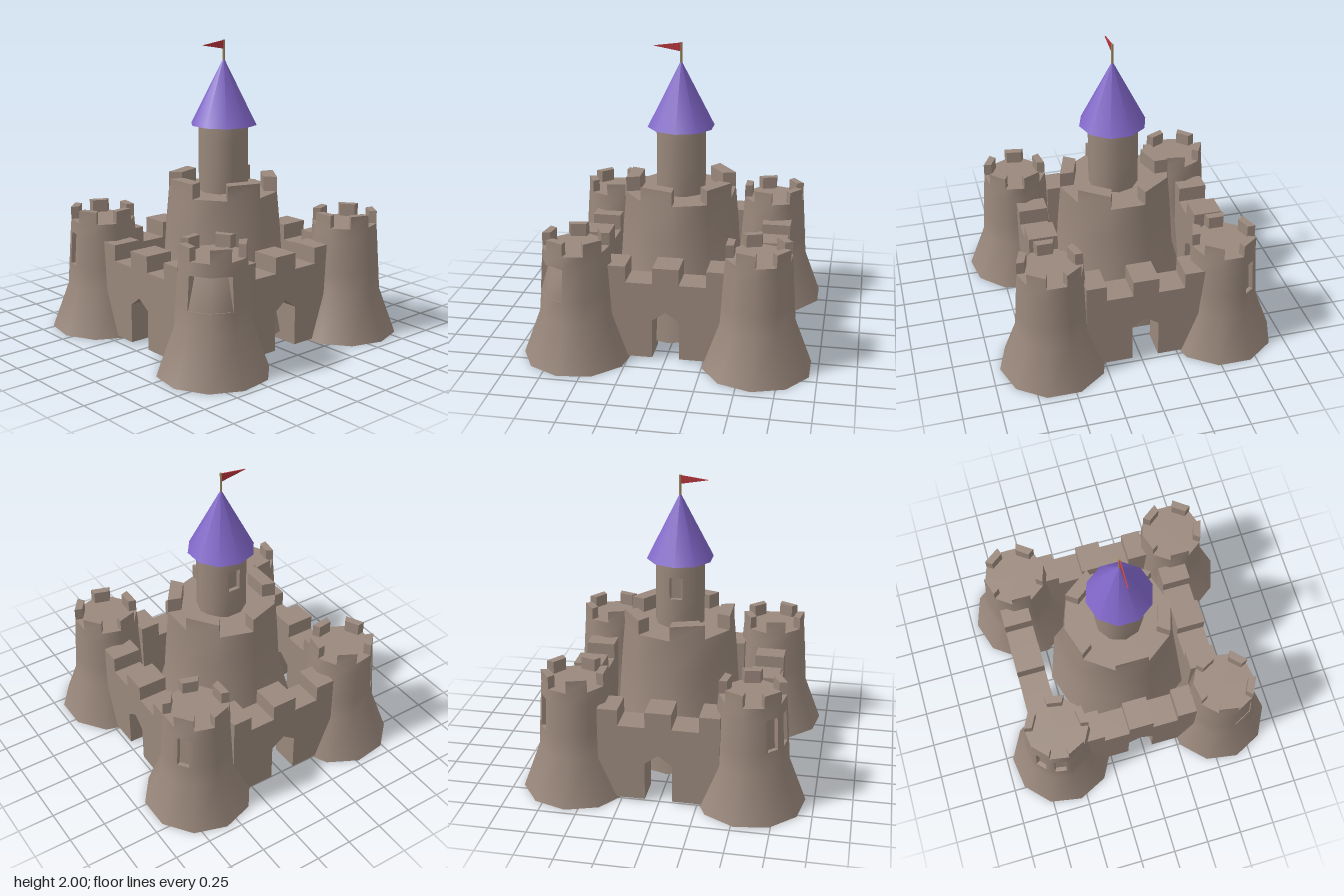
import * as THREE from 'three';
import { toCreasedNormals } from 'three/addons/utils/BufferGeometryUtils.js';

const SIDES = 10;
const STEP = (Math.PI * 2) / SIDES;

// Ten-sided tower from [radius, y] levels. Windows are recesses in one facet and band:
// { f: facet, band, t0, t1: span along the facet, lo, hi: depth at sill and at lintel }
function towerGeometry({ levels, rot = 0, windows = [], merlon = null }) {
  const pos = [];
  const quad = (a, b, c, d) => [a, b, c, a, c, d].forEach((p) => pos.push(p.x, p.y, p.z));
  const corner = (i, r, y) => {
    const a = (i - 0.5) * STEP + rot;
    return new THREE.Vector3(Math.sin(a) * r, y, Math.cos(a) * r);
  };
  const at = (f, t, [r, y], inset = 0) => corner(f, r - inset, y).lerp(corner(f + 1, r - inset, y), t);
  const top = levels[levels.length - 1];

  for (let f = 0; f < SIDES; f++) {
    for (let k = 0; k < levels.length - 1; k++) {
      const L = levels[k], H = levels[k + 1];
      const strip = (t0, t1) => quad(at(f, t0, L), at(f, t1, L), at(f, t1, H), at(f, t0, H));
      const w = windows.find((v) => v.f === f && v.band === k);
      if (!w) { strip(0, 1); continue; }
      const { t0, t1, lo, hi } = w;
      if (t0 > 0) strip(0, t0);
      if (t1 < 1) strip(t1, 1);
      const a = at(f, t0, L), b = at(f, t1, L), c = at(f, t1, H), d = at(f, t0, H);
      const ai = at(f, t0, L, lo), bi = at(f, t1, L, lo), ci = at(f, t1, H, hi), di = at(f, t0, H, hi);
      quad(ai, bi, ci, di);
      quad(a, b, bi, ai);
      quad(d, di, ci, c);
      const joins = (g) => windows.some((v) => v.f === g && v.band === k);
      if (t0 > 0 || !joins(f - 1)) quad(a, ai, di, d);
      if (t1 < 1 || !joins(f + 1)) quad(b, c, ci, bi);
    }
    // base and floor
    const [r0, y0] = levels[0], [r1, y1] = top;
    const low = new THREE.Vector3(0, y0, 0), high = new THREE.Vector3(0, y1, 0);
    [low, corner(f + 1, r0, y0), corner(f, r0, y0), high, corner(f, r1, y1), corner(f + 1, r1, y1)]
      .forEach((p) => pos.push(p.x, p.y, p.z));
    // battlement block on every second facet
    if (merlon && f % 2 === 0) {
      const [inner, height] = merlon;
      const o0 = corner(f, r1, y1), o1 = corner(f + 1, r1, y1);
      const O0 = corner(f, r1, height), O1 = corner(f + 1, r1, height);
      const i0 = corner(f, inner, y1), i1 = corner(f + 1, inner, y1);
      const I0 = corner(f, inner, height), I1 = corner(f + 1, inner, height);
      quad(o0, o1, O1, O0);
      quad(i1, i0, I0, I1);
      quad(i0, o0, O0, I0);
      quad(o1, i1, I1, O1);
      quad(O0, O1, I1, I0);
    }
  }
  const geo = new THREE.BufferGeometry();
  geo.setAttribute('position', new THREE.Float32BufferAttribute(pos, 3));
  return toCreasedNormals(geo, 0.85);
}

// Curtain wall with three merlons and a pointed gate, along x and centred in depth
function wallGeometry() {
  const thickness = 0.2;
  const shape = new THREE.Shape([
    [-0.4, 0.015], [-0.09, 0.015], [-0.09, 0.28], [0, 0.345], [0.09, 0.28], [0.09, 0.015], [0.4, 0.015],
    [0.4, 0.65], [0.265, 0.65], [0.265, 0.54], [0.087, 0.54], [0.087, 0.65],
    [-0.087, 0.65], [-0.087, 0.54], [-0.265, 0.54], [-0.265, 0.65], [-0.4, 0.65],
  ].map(([x, y]) => new THREE.Vector2(x, y)));
  return new THREE.ExtrudeGeometry(shape, { depth: thickness, bevelEnabled: false })
    .translate(0, 0, -thickness / 2);
}

export function createModel() {
  const group = new THREE.Group();
  const mat = (name, color, side = THREE.FrontSide) => {
    const m = new THREE.MeshStandardMaterial({ color, side });
    m.name = name;
    return m;
  };
  const stone = mat('stone', 0x9a887c);
  const roofPurple = mat('roofPurple', 0x8066c8);
  const poleWood = mat('poleWood', 0x9c865f);
  const flagRed = mat('flagRed', 0xb5353c, THREE.DoubleSide);

  const add = (name, geo, material, x = 0, y = 0, z = 0) => {
    const mesh = new THREE.Mesh(geo, material);
    mesh.name = name;
    mesh.position.set(x, y, z);
    group.add(mesh);
    return mesh;
  };

  // Corner towers
  const levels = [[0.365, 0], [0.25, 0.31], [0.24, 0.46], [0.225, 0.68], [0.218, 0.765]];
  const slit = (f) => ({ f, band: 2, t0: 0.2, t1: 0.75, lo: 0.03, hi: 0.03 });
  const breach = (f) => ({ f, band: 2, t0: 0, t1: 1, lo: 0.006, hi: 0.055 });
  const deg = Math.PI / 180;
  const corners = [
    ['frontLeftTower', 0.595, 0.59, -9 * deg, [breach(1), breach(2)]],
    ['frontRightTower', -0.597, 0.58, 26 * deg, [slit(9), slit(8)]],
    ['backLeftTower', 0.58, -0.6, 0, []],
    ['backRightTower', -0.595, -0.585, 0, [slit(6)]],
  ];
  for (const [name, x, z, rot, windows] of corners) {
    add(name, towerGeometry({ levels, rot, windows, merlon: [0.165, 0.85] }), stone, x, 0, z);
  }

  // Curtain walls
  const wall = wallGeometry();
  add('frontWall', wall, stone, -0.025, 0, 0.6);
  add('backWall', wall, stone, -0.025, 0, -0.63);
  add('leftWall', wall, stone, 0.525, 0, -0.003).rotation.y = Math.PI / 2;
  add('rightWall', wall, stone, -0.66, 0, -0.003).rotation.y = Math.PI / 2;

  // Central keep
  add('keep', towerGeometry({
    levels: [[0.515, 0.07], [0.425, 0.4], [0.4, 0.75], [0.378, 0.985]],
    merlon: [0.285, 1.085],
  }), stone);

  // Upper turret with a window on its right side
  add('turret', towerGeometry({
    levels: [[0.168, 0.97], [0.168, 1.19], [0.168, 1.34], [0.168, 1.44]],
    rot: STEP / 2,
    windows: [{ f: 7, band: 1, t0: 0.1, t1: 0.9, lo: 0.03, hi: 0.03 }],
  }), stone, 0.01);

  // Roof, pole and flag
  const roof = new THREE.ConeGeometry(0.226, 0.445, SIDES).rotateY(Math.PI / 2);
  add('roof', roof, roofPurple, 0.013, 1.6575, 0);
  add('flagPole', new THREE.CylinderGeometry(0.008, 0.008, 0.15, 6), poleWood, 0.013, 1.925, 0);
  const flag = new THREE.Shape([[0, 0.028], [0, -0.028], [0.18, 0.004]]
    .map(([x, y]) => new THREE.Vector2(x, y)));
  add('flag', new THREE.ExtrudeGeometry(flag, { depth: 0.008, bevelEnabled: false })
    .translate(0, 0, -0.004), flagRed, 0.013, 1.968, 0.005).rotation.y = -Math.PI / 2;

  return group;
}
